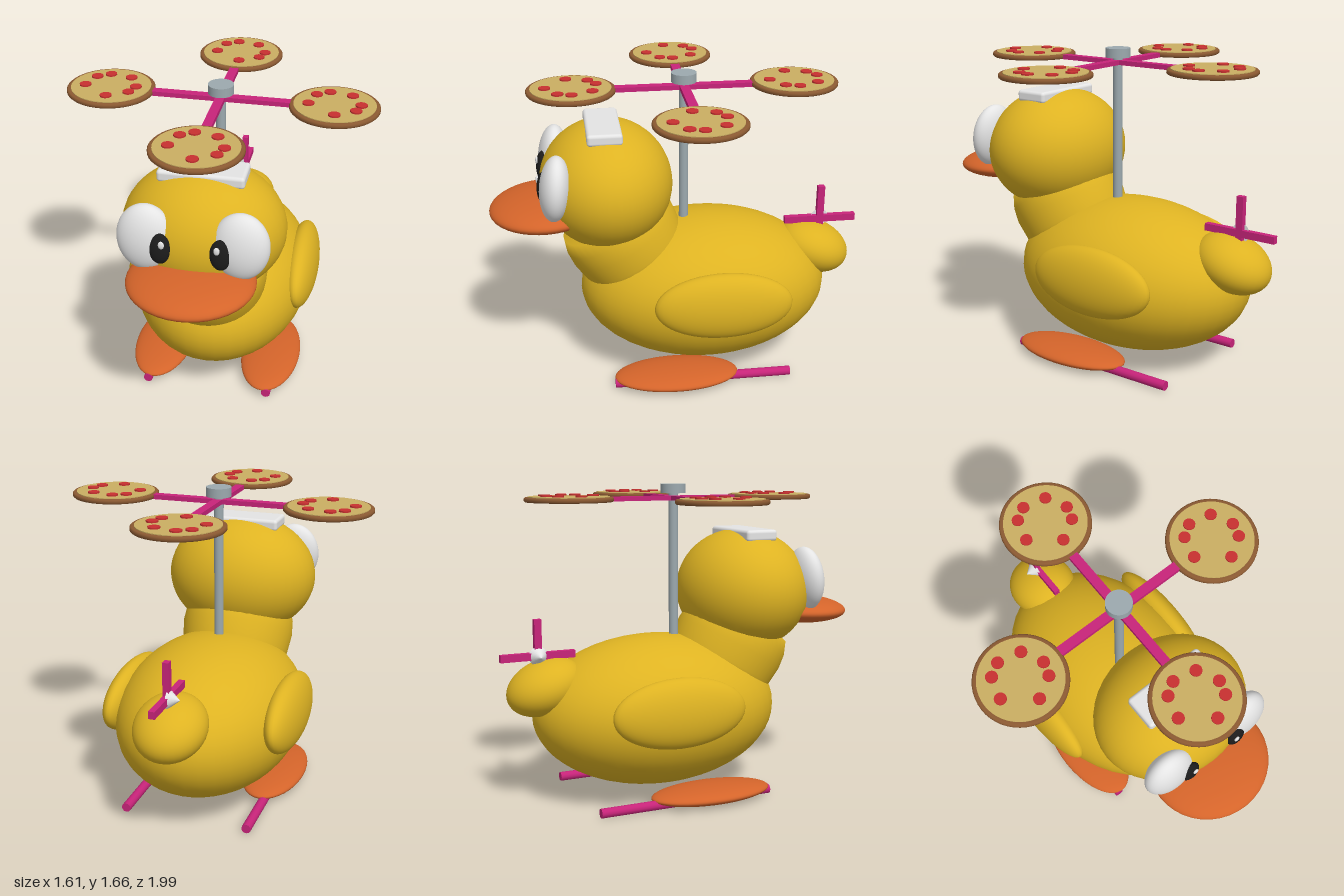
import * as THREE from 'three';
import { RoundedBoxGeometry } from 'three/addons/geometries/RoundedBoxGeometry.js';

const mat = (name, color) => {
  const m = new THREE.MeshStandardMaterial({ color });
  m.name = name;
  return m;
};

export function createModel() {
  const yellow = mat('yellow', 0xdeb322);
  const orange = mat('orange', 0xd4642a);
  const pink = mat('pink', 0xc8247a);
  const brown = mat('crust brown', 0x8c5a32);
  const cheeseTan = mat('cheese tan', 0xcaae62);
  const red = mat('red', 0xc83030);
  const grey = mat('metal grey', 0x9ca9ae);
  const white = mat('white', 0xe4e4e4);
  const black = mat('black', 0x1c1c1c);

  const model = new THREE.Group();
  model.name = 'duckHelicopter';

  const add = (name, geometry, material, pos, rot = [0, 0, 0], parent = model) => {
    const mesh = new THREE.Mesh(geometry, material);
    mesh.name = name;
    mesh.position.set(...pos);
    mesh.rotation.set(...rot);
    parent.add(mesh);
    return mesh;
  };
  const ellipsoid = (name, material, pos, radii, rot) =>
    add(name, new THREE.SphereGeometry(1, 40, 28).scale(...radii), material, pos, rot);

  // Body, head and tail
  ellipsoid('body', yellow, [0, 0.47, -0.145], [0.487, 0.403, 0.677]);
  ellipsoid('head', yellow, [0, 1.09, 0.38], [0.415, 0.335, 0.352]);
  ellipsoid('tail', yellow, [0, 0.64, -0.76], [0.185, 0.14, 0.21], [-0.35, 0, 0]);

  // Neck leaning forward, slightly bulged
  const neckProfile = [[0, -0.15], [0.28, -0.15], [0.3, 0], [0.312, 0.1], [0.305, 0.18], [0.28, 0.25], [0, 0.25]]
    .map(([r, y]) => new THREE.Vector2(r, y));
  add('neck', new THREE.LatheGeometry(neckProfile, 40), yellow, [0, 0.7, 0.25], [Math.PI / 6, 0, 0]);

  // Beak
  ellipsoid('beak', orange, [0, 0.967, 0.7], [0.318, 0.077, 0.3], [0.04, 0, 0]);

  // Mirrored parts
  for (const [side, s] of [['left', 1], ['right', -1]]) {
    ellipsoid(side + 'Wing', yellow, [s * 0.44, 0.54, -0.19], [0.092, 0.18, 0.363], [0, 0, s * 0.08]);
    ellipsoid(side + 'Foot', orange, [s * 0.311, 0.056, 0.043], [0.164, 0.047, 0.337]);
    ellipsoid(side + 'Eye', white, [s * 0.232, 1.16, 0.65], [0.142, 0.172, 0.08], [-0.1, 0, 0]);
    ellipsoid(side + 'Pupil', black, [s * 0.147, 1.14, 0.712], [0.053, 0.08, 0.03], [-0.08, 0, 0]);
    ellipsoid(side + 'EyeGlint', white, [s * 0.133, 1.175, 0.737], [0.015, 0.021, 0.008]);
    // Landing skid under the foot
    add(side + 'Skid', new THREE.CylinderGeometry(0.025, 0.025, 0.965, 12), pink,
      [s * 0.333, 0.035, -0.103], [Math.PI / 2, 0, 0]);
  }

  // Plate on top of the head
  add('headPlate', new RoundedBoxGeometry(0.434, 0.062, 0.182, 3, 0.018), white, [0, 1.396, 0.39]);

  // Main rotor mast and cap
  const mastZ = -0.035;
  add('mast', new THREE.CylinderGeometry(0.025, 0.025, 0.9, 24), grey, [0, 1.18, mastZ]);
  add('mastCap', new THREE.CylinderGeometry(0.066, 0.066, 0.048, 32), grey, [0, 1.646, mastZ]);

  // Rotor arms
  const reach = 0.578;
  const armY = 1.596;
  add('rotorArmAcross', new THREE.BoxGeometry(2 * reach, 0.024, 0.048), pink, [0, armY, mastZ]);
  add('rotorArmAlong', new THREE.BoxGeometry(0.048, 0.024, 2 * reach), pink, [0, armY, mastZ]);

  // Pizza at the end of each arm
  const crustProfile = [[0, 0], [0.222, 0], [0.228, 0.006], [0.228, 0.018], [0.222, 0.024], [0.208, 0.024], [0, 0.022]]
    .map(([r, y]) => new THREE.Vector2(r, y));
  const crustGeo = new THREE.LatheGeometry(crustProfile, 48);
  const cheeseGeo = new THREE.CylinderGeometry(0.207, 0.207, 0.008, 48);
  const sliceGeo = new THREE.CylinderGeometry(0.03, 0.03, 0.009, 20);
  const slices = [[-0.037, -0.13], [0.08, -0.106], [-0.1, -0.09], [-0.131, 0.021],
    [0.132, 0], [0.111, 0.069], [0.01, 0.132]];
  for (const [x, z] of [[1, 0], [-1, 0], [0, 1], [0, -1]]) {
    const pizza = new THREE.Group();
    pizza.name = 'pizzaBlade';
    pizza.position.set(x * reach, 1.585, mastZ + z * reach);
    add('crust', crustGeo, brown, [0, 0, 0], [0, 0, 0], pizza);
    add('cheese', cheeseGeo, cheeseTan, [0, 0.024, 0], [0, 0, 0], pizza);
    for (const [px, pz] of slices) add('topping', sliceGeo, red, [px, 0.0315, pz], [0, 0, 0], pizza);
    model.add(pizza);
  }

  // Tail rotor: crossed blades with a cone hub on the right side
  const tailY = 0.8, tailZ = -0.797;
  add('tailBladeUpright', new THREE.BoxGeometry(0.032, 0.39, 0.038), pink, [0, tailY, tailZ]);
  add('tailBladeLevel', new THREE.BoxGeometry(0.032, 0.038, 0.396), pink, [0, tailY + 0.004, tailZ]);
  add('tailHub', new THREE.ConeGeometry(0.05, 0.06, 24), white, [-0.036, tailY + 0.004, tailZ], [0, 0, Math.PI / 2]);

  return model;
}
